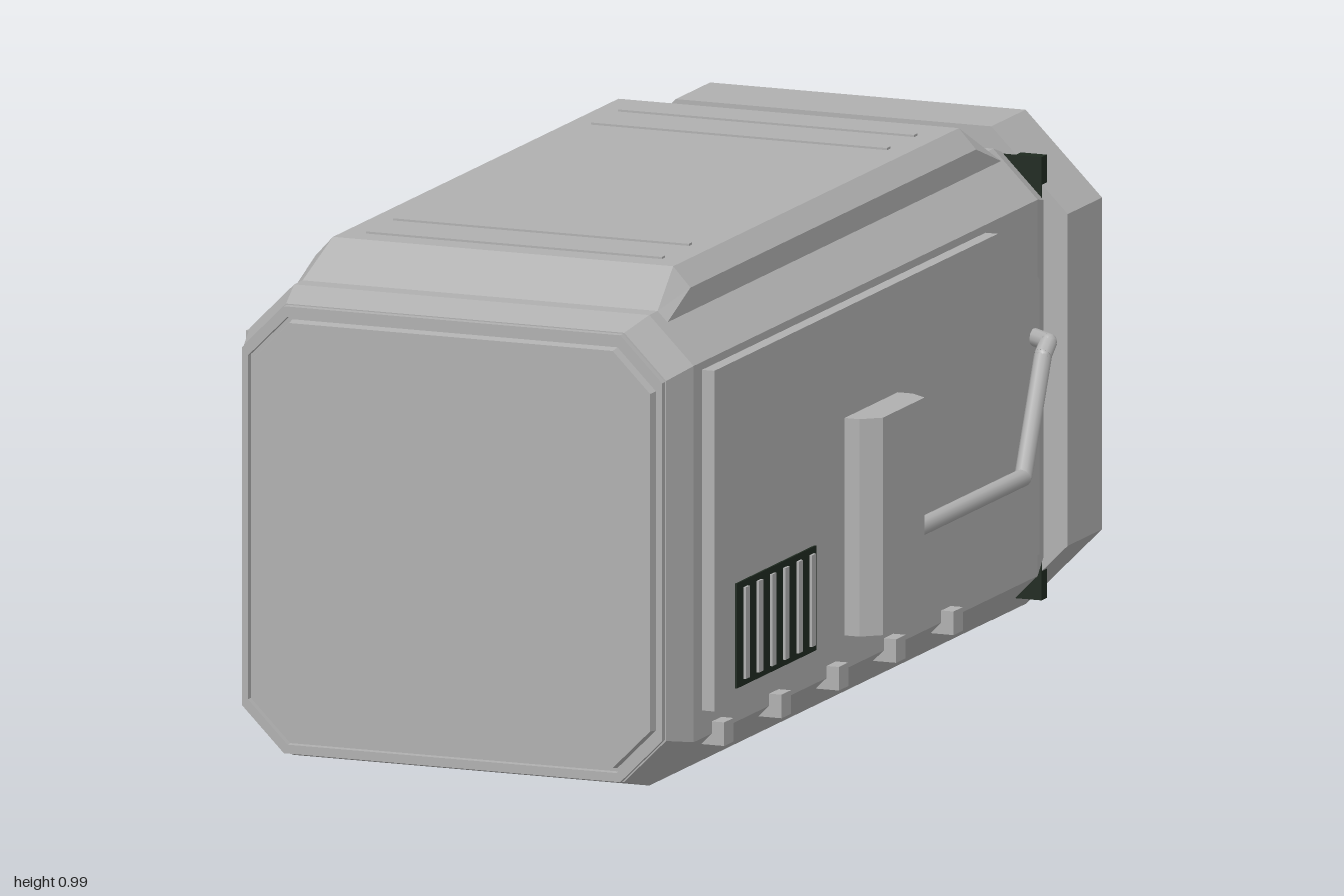
import * as THREE from 'three';

const hull = new THREE.MeshStandardMaterial({ color: 0xb0b0b0 });
hull.name = 'hull grey';
const dark = new THREE.MeshStandardMaterial({ color: 0x1f2a20 });
dark.name = 'dark green';

// Octagon corner points, counter-clockwise seen from the front
function octagon(w, y0, y1, c) {
  return [[w, y0 + c], [w, y1 - c], [w - c, y1], [c - w, y1],
    [-w, y1 - c], [-w, y0 + c], [c - w, y0], [w - c, y0]];
}

// Flat-faced solid through sections [z, points], listed front to back
function loft(sections) {
  const pos = [];
  const put = ([z, pts], i) => pos.push(pts[i][0], pts[i][1], z);
  const n = sections[0][1].length;
  for (let s = 0; s < sections.length - 1; s++) {
    const a = sections[s], b = sections[s + 1];
    for (let i = 0; i < n; i++) {
      const j = (i + 1) % n;
      put(a, i); put(b, i); put(a, j);
      put(a, j); put(b, i); put(b, j);
    }
  }
  const first = sections[0], last = sections[sections.length - 1];
  for (let i = 1; i < n - 1; i++) {
    put(first, 0); put(first, i); put(first, i + 1);
    put(last, 0); put(last, i + 1); put(last, i);
  }
  const g = new THREE.BufferGeometry();
  g.setAttribute('position', new THREE.Float32BufferAttribute(pos, 3));
  g.computeVertexNormals();
  return g;
}

const shapeOf = (pts) => new THREE.Shape(pts.map(([x, y]) => new THREE.Vector2(x, y)));

function extrude(pts, depth, hole) {
  const s = shapeOf(pts);
  if (hole) s.holes.push(shapeOf(hole));
  return new THREE.ExtrudeGeometry(s, { depth, bevelEnabled: false });
}

function add(parent, name, geometry, material, x = 0, y = 0, z = 0) {
  const m = new THREE.Mesh(geometry, material);
  m.name = name;
  m.position.set(x, y, z);
  parent.add(m);
  return m;
}

const box = (w, h, d) => new THREE.BoxGeometry(w, h, d);

// Bent pipe: straight rods with round joints
function addPipe(parent, points, r) {
  const pipe = new THREE.Group();
  pipe.name = 'sidePipe';
  const v = points.map((p) => new THREE.Vector3(...p));
  for (let i = 0; i < v.length - 1; i++) {
    const dir = v[i + 1].clone().sub(v[i]);
    const rod = add(pipe, 'pipeRod', new THREE.CylinderGeometry(r, r, dir.length(), 10), hull);
    rod.position.copy(v[i]).add(v[i + 1]).multiplyScalar(0.5);
    rod.quaternion.setFromUnitVectors(new THREE.Vector3(0, 1, 0), dir.normalize());
    add(pipe, 'pipeJoint', new THREE.SphereGeometry(r, 10, 6), hull, ...points[i + 1]);
  }
  parent.add(pipe);
}

function buildSide(side) {
  const g = new THREE.Group();
  g.name = side > 0 ? 'leftSide' : 'rightSide';
  // rotating the +x side half a turn would swap front and back, so x is placed by sign
  const panel = extrude([[-0.86, 0.165], [0.70, 0.165], [0.70, 0.69], [0.50, 0.815], [-0.86, 0.815]], 0.045);
  panel.rotateY(Math.PI / 2);
  add(g, 'sidePanel', panel, hull, side > 0 ? 0.43 : -0.475);

  // Vent with slats
  add(g, 'ventBack', box(0.008, 0.2, 0.38), dark, side * 0.475, 0.29, 0.57);
  for (let i = 0; i < 6; i++) {
    add(g, 'ventSlat', box(0.012, 0.175, 0.02), hull, side * 0.478, 0.29, 0.72 - i * 0.0635);
  }

  // Bevelled equipment box
  const plan = [[0.46, -0.235], [0.505, -0.235], [0.54, -0.205], [0.54, -0.005], [0.505, 0.02], [0.46, 0.02]];
  const pts = side > 0 ? plan : plan.map(([x, y]) => [-x, y]).reverse();
  const caseGeo = extrude(pts, 0.415);
  caseGeo.rotateX(-Math.PI / 2);
  add(g, 'equipmentBox', caseGeo, hull, 0, 0.19, 0);

  addPipe(g, [[0.518, 0.35, 0], [0.518, 0.35, -0.52], [0.518, 0.565, -0.615],
    [0.518, 0.585, -0.64], [0.465, 0.585, -0.68]].map(([x, y, z]) => [side * x, y, z]), 0.017);

  // Pegs along the lower edge
  for (let i = 0; i < 5; i++) {
    add(g, 'lowerPeg', box(0.05, 0.045, 0.045), hull, side * 0.45, 0.1125, 0.79 - i * 0.275);
  }
  return g;
}

export function createModel() {
  const model = new THREE.Group();
  model.name = 'containerModule';

  // Main eight-sided body, tapered at both ends
  add(model, 'body', loft([
    [0.98, octagon(0.428, 0.043, 0.9, 0.085)],
    [0.9, octagon(0.45, 0.022, 0.92, 0.09)],
    [-0.75, octagon(0.45, 0.022, 0.92, 0.09)],
    [-0.84, octagon(0.425, 0.047, 0.895, 0.085)],
  ]), hull);

  // Front bezel and cover with a narrow groove between them
  add(model, 'frontBezel', extrude(octagon(0.426, 0.045, 0.898, 0.085), 0.017,
    octagon(0.414, 0.062, 0.878, 0.08)), hull, 0, 0, 0.978);
  add(model, 'frontCover', loft([
    [1, octagon(0.404, 0.072, 0.868, 0.076)],
    [0.975, octagon(0.408, 0.068, 0.872, 0.078)],
  ]), hull);

  // Raised roof with sloping ends
  const roof = (wBase, yEdge, wTop, yTop) => [[wBase, 0.88], [wBase, yEdge], [wTop, yTop],
    [-wTop, yTop], [-wBase, yEdge], [-wBase, 0.88]];
  add(model, 'raisedRoof', loft([
    [0.86, roof(0.38, 0.9, 0.36, 0.92)],
    [0.75, roof(0.38, 0.945, 0.345, 0.983)],
    [-0.62, roof(0.38, 0.945, 0.345, 0.983)],
    [-0.74, roof(0.38, 0.9, 0.315, 0.925)],
  ]), hull);
  for (const z of [0.69, 0.56, -0.39, -0.52]) {
    add(model, 'roofStrip', box(0.6, 0.008, 0.016), hull, 0, 0.983, z);
  }

  for (const side of [1, -1]) model.add(buildSide(side));

  // Hollow rear collar, with a square dark plate whose corners poke out
  add(model, 'rearCollar', extrude(octagon(0.475, 0, 0.943, 0.155), 0.165,
    octagon(0.42, 0.055, 0.888, 0.13)), hull, 0, 0, -1);
  add(model, 'rearPlate', box(0.846, 0.846, 0.025), dark, 0, 0.47, -0.8455);
  for (const x of [-0.2, 0.2]) {
    for (const y of [0.27, 0.67]) {
      const nozzle = new THREE.CylinderGeometry(0.13, 0.13, 0.06, 20);
      nozzle.rotateX(Math.PI / 2);
      add(model, 'rearNozzle', nozzle, dark, x, y, -0.885);
    }
  }
  return model;
}
